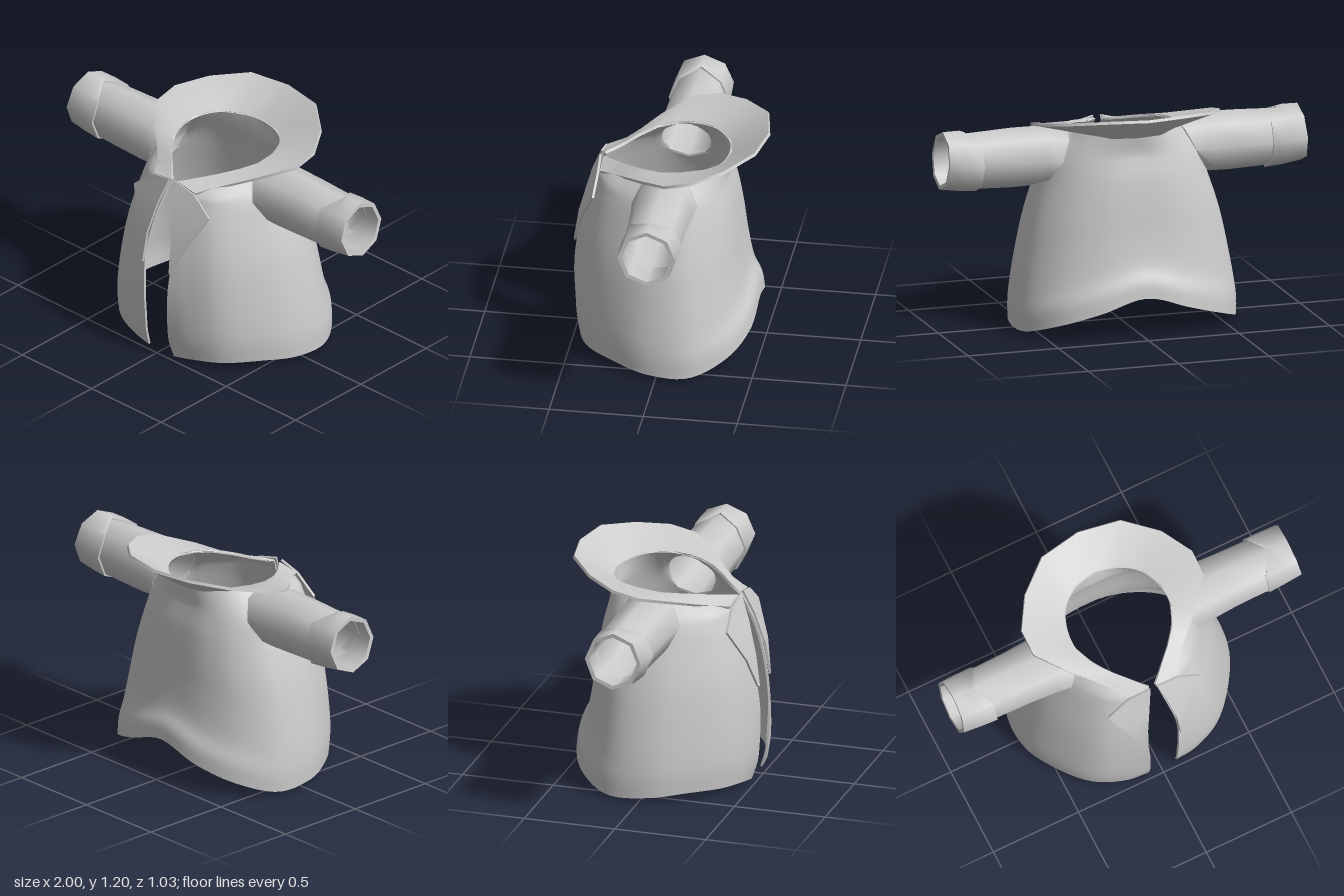
import * as THREE from 'three';
import { mergeVertices, toCreasedNormals } from 'three/addons/utils/BufferGeometryUtils.js';

const material = new THREE.MeshStandardMaterial({ color: 0xcccccc, side: THREE.DoubleSide });
const V = (x, y, z) => new THREE.Vector3(x, y, z);
const flip = (p) => V(-p.x, p.y, p.z);

// A row running left front -> back centre -> right front
const around = (half) => [...half, ...half.slice(0, -1).reverse().map(flip)];
// The same patch on the other side, still facing outwards
const mirrorRows = (rows) => rows.map((row) => row.map(flip).reverse());

// Turns rows of points into a cloth of some thickness, with closed rims
function cloth(name, rows, thickness, skip = () => false) {
  const n = rows[0].length;
  const faces = [];
  for (let r = 0; r < rows.length - 1; r++) {
    for (let c = 0; c < n - 1; c++) {
      const a = r * n + c;
      if (!skip(r, c)) faces.push(a, a + 1, a + n + 1, a, a + n + 1, a + n);
    }
  }
  let geo = new THREE.BufferGeometry().setFromPoints(rows.flat());
  geo.setIndex(faces);
  geo = mergeVertices(geo, 1e-4);
  geo.computeVertexNormals();
  const pos = geo.attributes.position, nor = geo.attributes.normal;
  const outer = [], inner = [];
  for (let i = 0; i < pos.count; i++) {
    const p = new THREE.Vector3().fromBufferAttribute(pos, i);
    outer.push(p);
    inner.push(p.clone().addScaledVector(new THREE.Vector3().fromBufferAttribute(nor, i), -thickness));
  }
  const idx = [...geo.index.array], k = outer.length, all = [...idx];
  const edges = new Set();
  for (let i = 0; i < idx.length; i += 3) {
    all.push(idx[i] + k, idx[i + 2] + k, idx[i + 1] + k);
    for (let j = 0; j < 3; j++) edges.add(idx[i + j] + '_' + idx[i + (j + 1) % 3]);
  }
  for (const e of edges) {
    const [a, b] = e.split('_').map(Number);
    if (!edges.has(b + '_' + a)) all.push(b, a, a + k, b, a + k, b + k);
  }
  const solid = new THREE.BufferGeometry().setFromPoints([...outer, ...inner]);
  solid.setIndex(all);
  const mesh = new THREE.Mesh(toCreasedNormals(solid, 0.9), material);
  mesh.name = name;
  return mesh;
}

// Neckline and outer collar edge, from the front to the back centre
const neck = [
  V(0.02, 1.0, 0.365), V(0.1, 1.02, 0.28), V(0.17, 1.04, 0.21), V(0.24, 1.06, 0.12), V(0.28, 1.07, 0.02),
  V(0.28, 1.08, -0.09), V(0.23, 1.08, -0.21), V(0.13, 1.07, -0.29), V(0, 1.07, -0.315),
];
const collarEdge = [
  V(0.15, 0.98, 0.365), V(0.2, 0.995, 0.28), V(0.27, 1.02, 0.21), V(0.37, 1.06, 0.12), V(0.5, 1.11, -0.03),
  V(0.5, 1.14, -0.17), V(0.4, 1.17, -0.33), V(0.23, 1.2, -0.47), V(0, 1.2, -0.51),
];

// Body: one plan outline scaled ring by ring, with a wavy hem and cut armholes
function body() {
  const hem = [0, 0.025, 0.04, 0.045, 0.03, 0.02, 0.08, 0.15, 0.22];
  const plan = [[0, 0], [0.33, 1], [0.6, 0.85], [0.83, 0.52], [0.98, 0.12], [0.97, -0.37], [0.74, -0.77], [0.4, -0.97], [0, -1]];
  // height share, half width, front depth, back depth, opening x, opening z
  const rings = [
    [0, 0.61, 0.46, 0.465, 0.09, 0.465],
    [0.1, 0.61, 0.475, 0.452, 0.082, 0.495],
    [0.2, 0.6, 0.48, 0.412, 0.08, 0.505],
    [0.4, 0.565, 0.475, 0.38, 0.085, 0.51],
    [0.6, 0.52, 0.455, 0.36, 0.09, 0.485],
    [0.8, 0.455, 0.415, 0.335, 0.06, 0.445],
    [0.9, 0.42, 0.385, 0.315, 0.04, 0.41],
    [0.96, 0.385, 0.365, 0.305, 0.028, 0.385],
  ];
  const keyRows = rings.map(([t, w, f, b, ex, ez]) => plan.map(([px, pz], i) => {
    const y = hem[i] + (1 - hem[i]) * t;
    return i === 0 ? V(ex, y, ez) : V(px * w, y, pz * (pz > 0 ? f : b));
  }));
  keyRows.push(neck);
  const COLS = 88, ROWS = 32;
  const ringCurves = keyRows.map((half) => new THREE.CatmullRomCurve3(around(half)));
  const rows = Array.from({ length: ROWS + 1 }, () => []);
  for (let c = 0; c <= COLS; c++) {
    const rib = new THREE.CatmullRomCurve3(ringCurves.map((k) => k.getPoint(c / COLS)));
    for (let r = 0; r <= ROWS; r++) rows[r].push(rib.getPoint(r / ROWS));
  }
  // Points inside an armhole slide out to its rim
  const R = 0.138, cy = 0.925, cz = -0.015;
  const inside = rows.map((row) => row.map((p) => {
    const dy = p.y - cy, dz = p.z - cz, d = Math.hypot(dy, dz);
    if (Math.abs(p.x) < 0.2 || d >= R) return false;
    const s = R / Math.max(d, 1e-3);
    p.y = cy + dy * s;
    p.z = cz + dz * s;
    return true;
  }));
  return cloth('body', rows, 0.012,
    (r, c) => inside[r][c] && inside[r][c + 1] && inside[r + 1][c] && inside[r + 1][c + 1]);
}

// Eight-sided ring across the arm; slant leans its top towards the body
function armRing(x, slant, y, ry, rz, notch = 0) {
  return Array.from({ length: 9 }, (_, i) => {
    const a = (i / 8) * Math.PI * 2;
    return V(x - slant * Math.cos(a) + (i % 8 === 0 ? notch : 0), y + ry * Math.cos(a), -0.015 + rz * Math.sin(a));
  });
}

export function createModel() {
  const coat = new THREE.Group();
  coat.name = 'coat';
  coat.add(body());
  coat.add(cloth('collar', [around(collarEdge), around(neck)], 0.016));

  const sleeve = [
    armRing(0.37, 0.07, 0.925, 0.148, 0.175),
    armRing(0.46, 0.04, 0.925, 0.16, 0.166),
    armRing(0.6, 0, 0.925, 0.162, 0.157),
    armRing(0.9, 0, 0.924, 0.15, 0.15),
  ];
  const cuff = [
    armRing(0.8, 0, 0.922, 0.163, 0.163, 0.065),
    armRing(0.89, 0, 0.93, 0.164, 0.16),
    armRing(0.99, 0.01, 0.938, 0.155, 0.154),
  ];
  // Lapel rows from the lowest point up to the notch, inner edge first
  const lapel = [
    [V(0.095, 0.53, 0.512), V(0.105, 0.53, 0.506)],
    [V(0.085, 0.7, 0.487), V(0.18, 0.7, 0.468)],
    [V(0.052, 0.88, 0.437), V(0.27, 0.88, 0.388)],
    [V(0.02, 1.01, 0.385), V(0.15, 0.98, 0.378)],
  ];
  const pairs = [['Sleeve', sleeve, 0.012], ['Cuff', cuff, 0.022], ['Lapel', lapel, 0.012]];
  for (const [part, rows, thickness] of pairs) {
    coat.add(cloth('left' + part, rows, thickness));
    coat.add(cloth('right' + part, mirrorRows(rows), thickness));
  }
  return coat;
}
